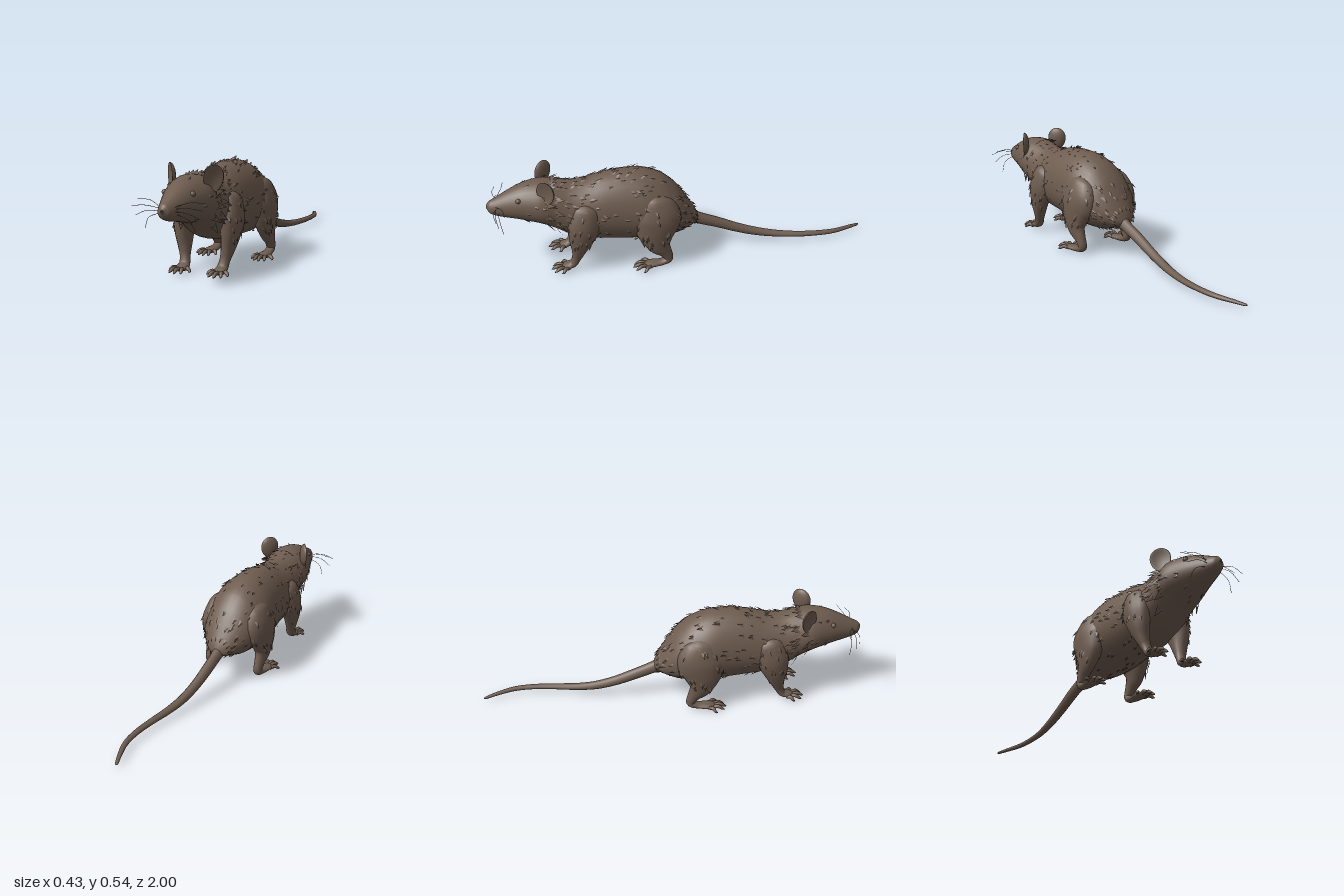
import * as THREE from 'three';
import { mergeGeometries } from 'three/addons/utils/BufferGeometryUtils.js';

const V = (x, y, z) => new THREE.Vector3(x, y, z);

// small seeded random
let seed = 7;
const rnd = () => {
  seed = (seed * 16807) % 2147483647;
  return seed / 2147483647;
};

// Smooth skin through rings [x, y, z, radiusAcross, radiusThrough]; returns a surface sampler
function skin(rings, { axis = null, egg = 0 } = {}) {
  const centre = new THREE.CatmullRomCurve3(rings.map(r => V(r[0], r[1], r[2])));
  const radii = new THREE.CatmullRomCurve3(rings.map(r => V(r[3], r[4], 0)));
  return (t, angle) => {
    const T = axis ? axis.clone() : centre.getTangent(t);
    const S = V(1, 0, 0).addScaledVector(T, -T.x).normalize();
    const U = T.clone().cross(S);
    const r = radii.getPoint(t);
    const c = Math.cos(angle), s = Math.sin(angle);
    return centre.getPoint(t)
      .addScaledVector(S, Math.max(r.x, 0.0004) * c * (1 - egg * s))
      .addScaledVector(U, Math.max(r.y, 0.0004) * s);
  };
}

function loft(surface, steps, sides) {
  const pos = [], index = [];
  for (let i = 0; i <= steps; i++) {
    for (let j = 0; j < sides; j++) {
      pos.push(...surface(i / steps, j / sides * Math.PI * 2).toArray());
      if (i === steps) continue;
      const a = i * sides + j, b = i * sides + (j + 1) % sides;
      index.push(a, b, a + sides, b, b + sides, a + sides);
    }
  }
  const g = new THREE.BufferGeometry();
  g.setAttribute('position', new THREE.Float32BufferAttribute(pos, 3));
  g.setIndex(index);
  g.computeVertexNormals();
  return g;
}

// One ridged lock of fur lying on a surface; flow is the sign of t it points along
function lock(out, surface, t, angle, flow, size, lift) {
  const p = surface(t, angle);
  const along = surface(t + 0.01, angle).sub(surface(t - 0.01, angle)).normalize();
  const side = surface(t, angle + 0.02).sub(surface(t, angle - 0.02)).normalize();
  const n = side.clone().cross(along).normalize();
  const back = along.multiplyScalar(flow);
  const l = p.clone().addScaledVector(side, -size * 0.4).addScaledVector(n, -0.004);
  const r = p.clone().addScaledVector(side, size * 0.4).addScaledVector(n, -0.004);
  const ridge = p.clone().addScaledVector(n, size * 0.12).addScaledVector(back, size * 0.3);
  const tip = p.clone().addScaledVector(back, size).addScaledVector(n, size * lift);
  const tris = flow < 0 ? [l, tip, ridge, ridge, tip, r] : [l, ridge, tip, ridge, r, tip];
  tris.forEach(v => out.push(v.x, v.y, v.z));
}

export function createModel() {
  seed = 7;
  const fur = new THREE.MeshStandardMaterial({ color: 0x6e5c4f });
  fur.name = 'brownFur';
  fur.side = THREE.DoubleSide;
  const model = new THREE.Group();
  model.name = 'rodent';
  const add = (name, geometry, parent = model) => {
    const m = new THREE.Mesh(geometry, fur);
    m.name = name;
    parent.add(m);
    return m;
  };
  const tufts = [];

  // Body and head, rump to nose: z, top, bottom, half width
  const profile = [
    [-0.095, 0.195, 0.185, 0.005], [-0.075, 0.24, 0.165, 0.055], [-0.03, 0.315, 0.15, 0.1],
    [0.03, 0.4, 0.13, 0.14], [0.1, 0.462, 0.122, 0.163], [0.2, 0.502, 0.12, 0.17],
    [0.3, 0.51, 0.125, 0.16], [0.4, 0.5, 0.135, 0.152], [0.5, 0.476, 0.15, 0.145],
    [0.58, 0.474, 0.175, 0.132], [0.65, 0.488, 0.22, 0.125], [0.72, 0.498, 0.262, 0.127],
    [0.8, 0.486, 0.285, 0.102], [0.85, 0.468, 0.298, 0.084], [0.9, 0.444, 0.308, 0.065],
    [0.95, 0.417, 0.32, 0.046], [0.985, 0.399, 0.336, 0.029], [1, 0.378, 0.362, 0.006]
  ];
  const body = skin(profile.map(([z, top, low, w]) => [0, (top + low) / 2, z, w, (top - low) / 2]),
    { axis: V(0, 0, 1), egg: 0.1 });
  add('body', loft(body, 68, 28));

  // Loose locks over back and flanks, fewer on the head
  for (let i = 0; i < 210; i++) {
    const t = 0.1 + 0.52 * rnd();
    lock(tufts, body, t, -0.6 + rnd() * (Math.PI + 1.2), -1, 0.025 + 0.02 * rnd(), 0.2 + 0.15 * rnd());
  }
  for (let i = 0; i < 24; i++) {
    lock(tufts, body, 0.64 + 0.1 * rnd(), rnd() * Math.PI * 2, -1, 0.028, 0.25);
  }
  // Rump fringe, belly fringe, neck crest and cheek ruff
  for (let i = 0; i < 14; i++) lock(tufts, body, 0.085, i / 14 * Math.PI * 2, -1, 0.035, 0.35);
  for (let i = 0; i < 26; i++) {
    lock(tufts, body, 0.16 + 0.3 * rnd(), Math.PI * 1.5 + (rnd() - 0.5) * 1.2, -1, 0.035, 0.3);
  }
  for (let i = -3; i <= 3; i++) lock(tufts, body, 0.615, Math.PI / 2 + i * 0.16, -1, 0.045, 0.5);
  for (let i = 0; i < 7; i++) {
    for (const a of [-0.9 + i * 0.25, Math.PI + 0.9 - i * 0.25]) {
      lock(tufts, body, 0.6 + 0.04 * (i % 2), a, -1, 0.055, 0.5);
    }
  }

  // Tail
  add('tail', loft(skin([
    [0, 0.195, -0.04, 0.034, 0.036], [0, 0.165, -0.11, 0.028, 0.031], [0, 0.13, -0.2, 0.027, 0.028],
    [0.006, 0.09, -0.3, 0.025, 0.025], [0.017, 0.06, -0.4, 0.023, 0.022], [0.034, 0.044, -0.5, 0.021, 0.018],
    [0.055, 0.037, -0.62, 0.018, 0.015], [0.065, 0.035, -0.74, 0.016, 0.013], [0.058, 0.032, -0.84, 0.014, 0.012],
    [0.025, 0.026, -0.94, 0.011, 0.009], [0.004, 0.021, -0.99, 0.008, 0.006], [0, 0.021, -0.999, 0.001, 0.001]
  ]), 48, 12));

  // Nose pad
  const nose = add('nose', new THREE.SphereGeometry(0.014, 12, 8));
  nose.scale.set(1.2, 0.8, 0.7);
  nose.position.set(0, 0.378, 0.989);

  for (const s of [1, -1]) {
    const label = s > 0 ? 'left' : 'right';
    const limb = rings => skin(rings.map(([x, ...rest]) => [x * s, ...rest]));

    // Front leg
    const front = limb([
      [0.085, 0.39, 0.49, 0.02, 0.03], [0.1, 0.35, 0.5, 0.056, 0.075], [0.117, 0.27, 0.52, 0.058, 0.085],
      [0.121, 0.19, 0.54, 0.046, 0.064], [0.113, 0.12, 0.555, 0.034, 0.038], [0.105, 0.07, 0.57, 0.026, 0.024],
      [0.1, 0.036, 0.588, 0.028, 0.02], [0.098, 0.024, 0.625, 0.034, 0.014], [0.096, 0.02, 0.65, 0.02, 0.008]
    ]);
    add(label + 'FrontLeg', loft(front, 36, 14));

    // Hind leg with long flat foot
    const hind = limb([
      [0.09, 0.41, 0.15, 0.02, 0.03], [0.105, 0.37, 0.15, 0.056, 0.09], [0.127, 0.28, 0.145, 0.066, 0.125],
      [0.142, 0.2, 0.152, 0.052, 0.102], [0.15, 0.13, 0.14, 0.036, 0.062], [0.15, 0.08, 0.108, 0.026, 0.034],
      [0.148, 0.035, 0.092, 0.023, 0.022], [0.148, 0.019, 0.125, 0.025, 0.016], [0.15, 0.016, 0.19, 0.034, 0.014],
      [0.152, 0.012, 0.225, 0.024, 0.008]
    ]);
    add(label + 'HindLeg', loft(hind, 44, 16));

    // Toes: base x, z, tip x, z, height
    const toes = (name, list, y) => {
      const parts = list.map(([bx, bz, tx, tz]) => {
        const mx = (bx + tx) / 2, mz = (bz + tz) / 2;
        return loft(limb([[bx, y, bz, 0.009, 0.009], [mx, y + 0.007, mz, 0.01, 0.01],
          [tx * 0.85 + mx * 0.15, y - 0.003, tz - 0.012, 0.0075, 0.007], [tx, y - 0.009, tz, 0.001, 0.001]]), 10, 8);
      });
      add(label + name, mergeGeometries(parts));
    };
    toes('FrontToes', [[0.08, 0.61, 0.046, 0.65], [0.088, 0.63, 0.072, 0.692],
      [0.102, 0.635, 0.103, 0.703], [0.115, 0.625, 0.133, 0.688], [0.122, 0.61, 0.152, 0.652]], 0.02);
    toes('HindToes', [[0.13, 0.185, 0.1, 0.238], [0.138, 0.205, 0.127, 0.272],
      [0.151, 0.21, 0.153, 0.282], [0.164, 0.205, 0.181, 0.27], [0.172, 0.185, 0.209, 0.232]], 0.012);

    // Locks on shoulder and thigh, outer side only
    const outer = s > 0 ? 0 : Math.PI;
    for (let i = 0; i < 16; i++) {
      lock(tufts, front, 0.14 + 0.28 * rnd(), outer + (rnd() - 0.5) * 2.4, 1, 0.035, 0.2);
      lock(tufts, hind, 0.12 + 0.3 * rnd(), outer + (rnd() - 0.5) * 2.4, 1, 0.042, 0.25);
    }

    // Cupped ear: a flattened ball with its front pressed inward
    const ear = new THREE.SphereGeometry(1, 18, 14);
    const p = ear.attributes.position;
    for (let i = 0; i < p.count; i++) {
      const x = p.getX(i), y = p.getY(i), z = p.getZ(i);
      const cup = 1 - x * x - y * y;
      p.setXYZ(i, x * 0.052 * (1 + 0.1 * y), y * 0.064, z > 0 ? z * 0.008 - cup * 0.016 : z * 0.026);
    }
    ear.computeVertexNormals();
    const earMesh = add(label + 'Ear', ear);
    earMesh.position.set(0.111 * s, 0.48, 0.703);
    earMesh.rotation.set(0, 0.9 * s, -0.12 * s, 'YXZ');

    // Eye bump
    const eye = add(label + 'Eye', new THREE.SphereGeometry(0.013, 12, 8));
    eye.position.set(0.071 * s, 0.428, 0.838);

    // Whiskers
    const tips = [[0.168, 0.402, 0.91], [0.176, 0.378, 0.955], [0.16, 0.335, 0.945], [0.125, 0.275, 0.925]];
    add(label + 'Whiskers', mergeGeometries(tips.map(([x, y, z], i) => {
      const a = V(0.032 * s, 0.382 - i * 0.009, 0.955 - (i % 2) * 0.01);
      const b = V(0.1 * s, (a.y + y) / 2 + 0.012, z + 0.012);
      return new THREE.TubeGeometry(new THREE.CatmullRomCurve3([a, b, V(x * s, y, z)]), 10, 0.0012, 4);
    })));
  }

  // All fur locks as one mesh
  const furGeometry = new THREE.BufferGeometry();
  furGeometry.setAttribute('position', new THREE.Float32BufferAttribute(tufts, 3));
  furGeometry.computeVertexNormals();
  add('furTufts', furGeometry);

  return model;
}
